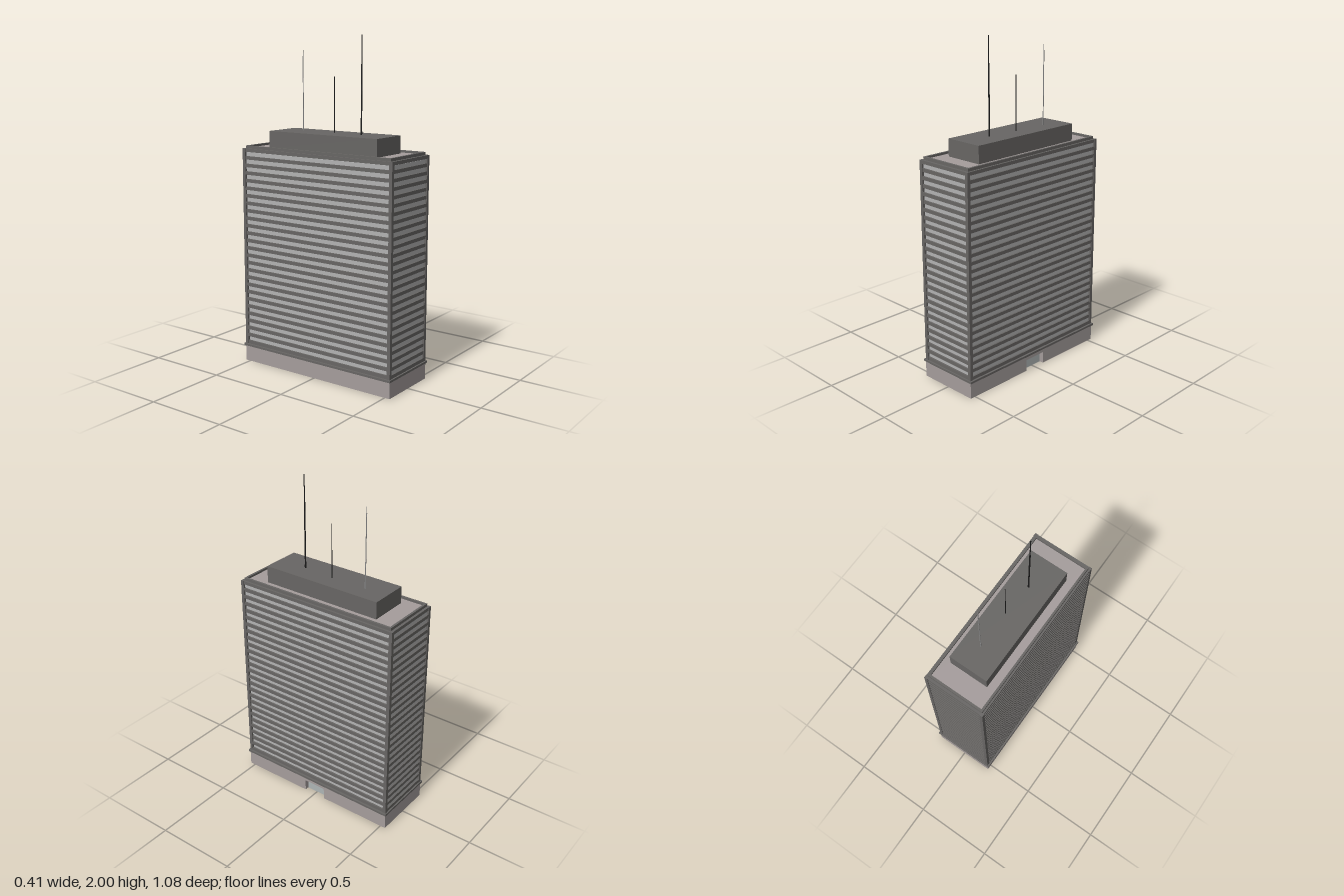
import * as THREE from 'three';

const material = (color) => new THREE.MeshStandardMaterial({ color, flatShading: true });

export function createModel() {
  const tower = new THREE.Group();
  tower.name = 'officeTower';

  const dark = material(0x686664);
  const stone = material(0xa59d9c);
  const glass = material(0xb2b2b2);
  const doorGlass = material(0xaeb5b5);
  const black = material(0x1c1c1c);
  const steel = material(0x8a8a8a);

  const add = (name, geometry, mat, parent = tower) => {
    const mesh = new THREE.Mesh(geometry, mat);
    mesh.name = name;
    parent.add(mesh);
    return mesh;
  };

  // Box given by its full width and depth, and its bottom and top heights
  const block = (name, w, d, y0, y1, mat, x = 0, z = 0, parent = tower) => {
    const mesh = add(name, new THREE.BoxGeometry(w, y1 - y0, d), mat, parent);
    mesh.position.set(x, (y0 + y1) / 2, z);
    return mesh;
  };

  // Rectangular outline, as a shape or a hole
  const rect = (target, w, d) => {
    target.moveTo(-w / 2, -d / 2);
    target.lineTo(w / 2, -d / 2);
    target.lineTo(w / 2, d / 2);
    target.lineTo(-w / 2, d / 2);
    target.closePath();
    return target;
  };

  // Extrudes a plan outline upwards
  const raise = (name, shape, y0, y1, mat, parent = tower) => {
    const geometry = new THREE.ExtrudeGeometry(shape, { depth: y1 - y0, bevelEnabled: false });
    geometry.rotateX(-Math.PI / 2);
    const mesh = add(name, geometry, mat, parent);
    mesh.position.y = y0;
    return mesh;
  };

  const W = 0.388, D = 1.066;

  // Ground floor with an entrance recess in the +x wall
  const doorHalf = 0.072, doorTop = 0.072, recess = 0.03;
  const plan = new THREE.Shape([
    [-W / 2, -D / 2], [W / 2, -D / 2], [W / 2, -doorHalf], [W / 2 - recess, -doorHalf],
    [W / 2 - recess, doorHalf], [W / 2, doorHalf], [W / 2, D / 2], [-W / 2, D / 2],
  ].map(([x, y]) => new THREE.Vector2(x, y)));
  raise('groundFloor', plan, 0, doorTop, stone);
  block('groundFloorTop', W, D, doorTop, 0.1, stone);
  block('entranceDoor', 0.004, doorHalf * 2, 0, doorTop, doorGlass, W / 2 - recess + 0.002);

  // Ledge above the ground floor
  block('ledge', 0.408, 1.08, 0.098, 0.111, dark);

  // Glazed core behind the floor bands
  const inset = 0.012;
  block('windowCore', W - 2 * inset, D - 2 * inset, 0.111, 1.31, glass);

  // Dark bands between the rows of windows
  const rows = 26, pitch = 0.0462, firstSill = 0.132, windowHeight = 0.026;
  const bands = new THREE.Group();
  bands.name = 'floorBands';
  tower.add(bands);
  for (let i = 0; i <= rows; i++) {
    const y0 = i === 0 ? 0.111 : firstSill + (i - 1) * pitch + windowHeight;
    const y1 = i === rows ? 1.333 : firstSill + i * pitch;
    block('floorBand', W - 0.004, D - 0.004, y0, y1, dark, 0, 0, bands);
  }

  // Corner pillars
  const pillar = 0.02;
  for (const sx of [-1, 1]) {
    for (const sz of [-1, 1]) {
      block('cornerPillar', pillar, pillar, 0.105, 1.333, dark,
        sx * (W - pillar) / 2, sz * (D - pillar) / 2);
    }
  }

  // Roof deck inside a low parapet
  const parapet = rect(new THREE.Shape(), 0.362, 1.032);
  parapet.holes.push(rect(new THREE.Path(), 0.336, 1.006));
  raise('parapet', parapet, 1.33, 1.35, dark);
  block('roofDeck', 0.337, 1.007, 1.33, 1.337, stone);

  // Rooftop plant room
  block('plantRoom', 0.243, 0.767, 1.335, 1.44, dark, 0.003);

  // Antennas: [x, z, mat, sections of [top height, radius]]
  const antennas = [
    [0.01, 0.192, black, [[1.46, 0.005], [1.84, 0.0042], [2.0, 0.0028]]],
    [0.024, -0.008, black, [[1.455, 0.003], [1.61, 0.0026], [1.765, 0.002]]],
    [0.024, -0.238, steel, [[1.48, 0.004], [1.88, 0.0028], [1.915, 0.0016]]],
  ];
  for (const [x, z, mat, sections] of antennas) {
    const antenna = new THREE.Group();
    antenna.name = 'antenna';
    antenna.position.set(x, 0, z);
    tower.add(antenna);
    let bottom = 1.438;
    for (const [top, radius] of sections) {
      const mast = add('mast', new THREE.CylinderGeometry(radius, radius, top - bottom, 8), mat, antenna);
      mast.position.y = (top + bottom) / 2;
      bottom = top;
    }
  }

  return tower;
}
